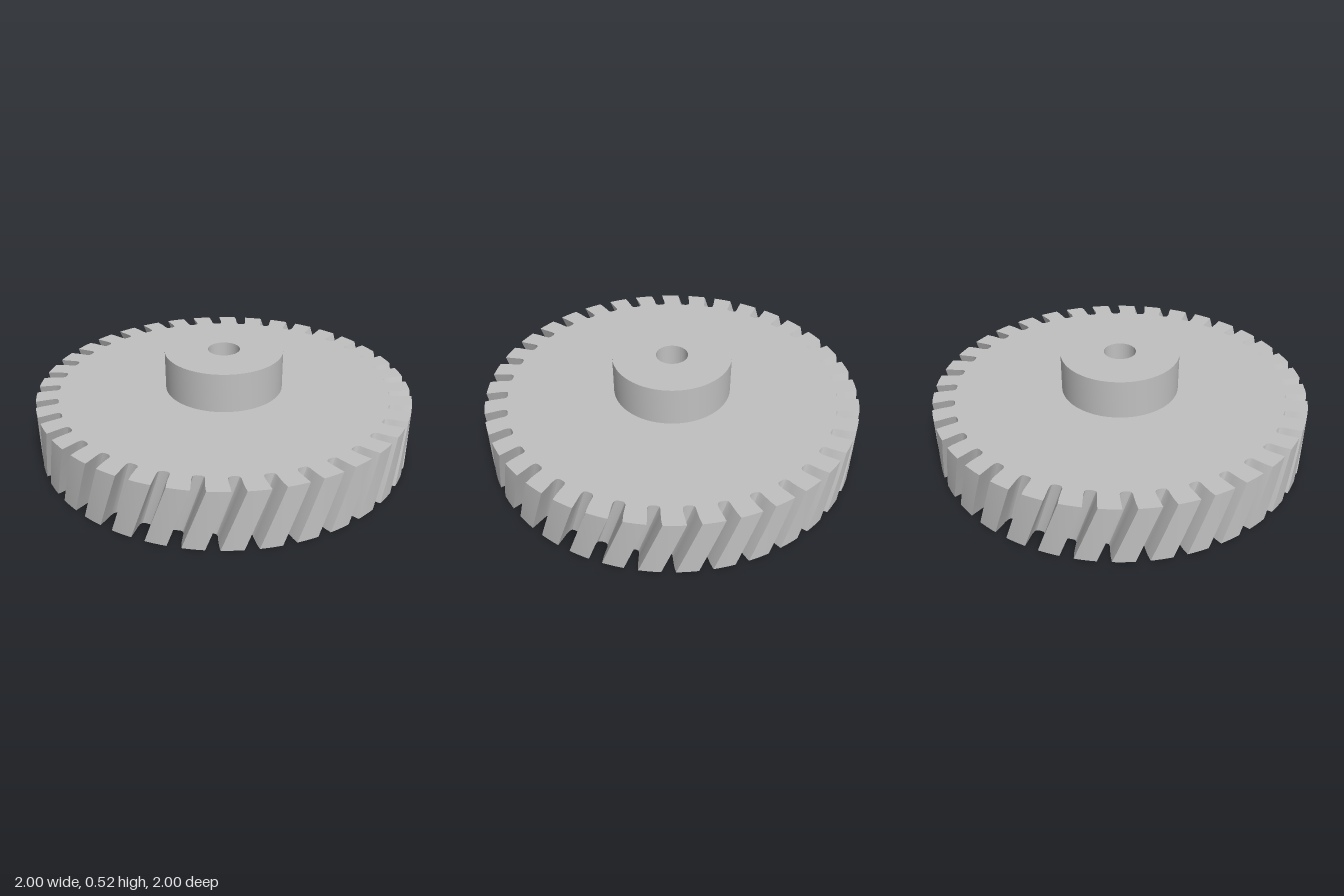
import * as THREE from 'three';
import { toCreasedNormals } from 'three/addons/utils/BufferGeometryUtils.js';

const SLOTS = 36, HEIGHT = 0.315, TOP = 0.525;
const BORE = 0.085, HUB = 0.315, TWIST = 0.115;
const STEP = (Math.PI * 2) / SLOTS;

// one slot's cross-section, [sideways, outward], from rim to floor to rim
const SLOT = [
  [-0.02, 1], [-0.024, 0.96], [-0.029, 0.92], [-0.029, 0.9], [-0.024, 0.889], [-0.012, 0.884],
  [0.012, 0.884], [0.023, 0.889], [0.029, 0.9], [0.033, 0.93], [0.039, 0.965], [0.048, 1],
];

function gearShape() {
  const points = [];
  const add = (r, a) => points.push(new THREE.Vector2(r * Math.sin(a), -r * Math.cos(a)));
  const first = Math.atan(SLOT[0][0]);
  const last = Math.atan(SLOT[SLOT.length - 1][0]);
  for (let i = 0; i < SLOTS; i++) {
    for (const [side, out] of SLOT) {
      add(out === 1 ? 1 : Math.hypot(side, out), i * STEP + Math.atan2(side, out));
    }
    // tooth tip along the rim
    for (let k = 1; k < 4; k++) {
      add(1, i * STEP + last + (STEP + first - last) * k / 4);
    }
  }
  const shape = new THREE.Shape(points);
  const hole = new THREE.Path();
  hole.absarc(0, 0, BORE, 0, Math.PI * 2, true);
  shape.holes.push(hole);
  return shape;
}

export function createModel() {
  const group = new THREE.Group();
  const steel = new THREE.MeshStandardMaterial({ color: 0xc0c0c0 });
  steel.name = 'grey steel';

  // toothed disc, twisted so the slots run as helices
  const disc = new THREE.ExtrudeGeometry(gearShape(), {
    depth: HEIGHT, steps: 8, bevelEnabled: false, curveSegments: 48,
  });
  disc.rotateX(-Math.PI / 2);
  const pos = disc.attributes.position;
  const v = new THREE.Vector3();
  const up = new THREE.Vector3(0, 1, 0);
  for (let i = 0; i < pos.count; i++) {
    v.fromBufferAttribute(pos, i);
    v.applyAxisAngle(up, TWIST * (v.y / HEIGHT - 1));
    pos.setXYZ(i, v.x, v.y, v.z);
  }
  const gear = new THREE.Mesh(toCreasedNormals(disc, 0.5), steel);
  gear.name = 'helicalGearDisc';
  group.add(gear);

  // raised hub with the bore through it
  const profile = [[HUB, HEIGHT], [HUB, TOP], [BORE, TOP], [BORE, HEIGHT]]
    .map(([r, y]) => new THREE.Vector2(r, y));
  const hub = new THREE.Mesh(toCreasedNormals(new THREE.LatheGeometry(profile, 96), 0.5), steel);
  hub.name = 'hub';
  group.add(hub);

  return group;
}
